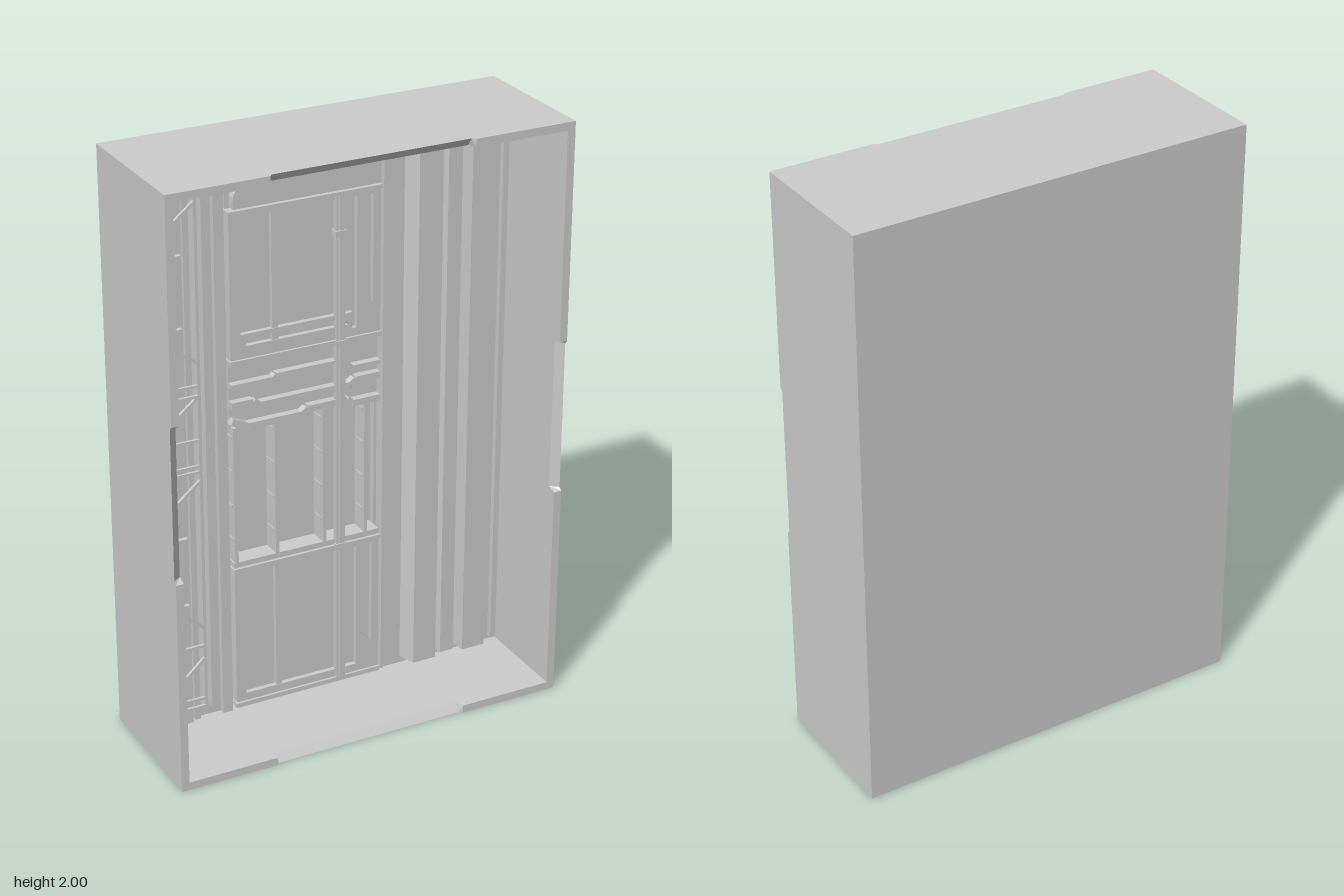
import * as THREE from 'three';

const W = 0.685, H = 2, D = 0.245, T = 0.027, BACK = -0.1;
const mat = new THREE.MeshStandardMaterial({ color: 0xcccccc, flatShading: true, side: THREE.DoubleSide });

export function createModel() {
  const root = new THREE.Group();
  const add = (parent, name, geo) => {
    const m = new THREE.Mesh(geo, mat);
    m.name = name;
    parent.add(m);
    return m;
  };
  const group = (name) => {
    const g = new THREE.Group();
    g.name = name;
    root.add(g);
    return g;
  };
  // box given by its limits
  const block = (parent, name, x0, x1, y0, y1, z0, z1) => {
    const m = add(parent, name, new THREE.BoxGeometry(x1 - x0, y1 - y0, z1 - z0));
    m.position.set((x0 + x1) / 2, (y0 + y1) / 2, (z0 + z1) / 2);
    return m;
  };
  // slanted or straight bar between two points of the xy plane
  const bar = (parent, name, x0, y0, x1, y1, z, w, d = w) => {
    const m = add(parent, name, new THREE.BoxGeometry(Math.hypot(x1 - x0, y1 - y0), w, d));
    m.position.set((x0 + x1) / 2, (y0 + y1) / 2, z);
    m.rotation.z = Math.atan2(y1 - y0, x1 - x0);
    return m;
  };
  // flat outline with optional holes, extruded from z0 to z1
  const plate = (parent, name, pts, holes, z0, z1) => {
    const s = new THREE.Shape(pts.map((p) => new THREE.Vector2(...p)));
    for (const h of holes) s.holes.push(new THREE.Path(h.map((p) => new THREE.Vector2(...p))));
    const m = add(parent, name, new THREE.ExtrudeGeometry(s, { depth: z1 - z0, bevelEnabled: false }));
    m.position.z = z0;
    return m;
  };
  const rect = (x0, x1, y0, y1) => [[x0, y0], [x1, y0], [x1, y1], [x0, y1]];

  // casing: solid back and four walls, each with a bevelled notch in its front edge
  const casing = group('casing');
  block(casing, 'backSlab', -W, W, 0, H, -D, -0.125);
  block(casing, 'leftBackPanel', -W + T, -0.345, T, H - T, -0.125, BACK);
  block(casing, 'rightBackPanel', 0.18, W - T, T, H - T, -0.125, BACK);
  const wallGeometry = (len, a, b) => {
    const n = 0.01;
    const s = new THREE.Shape([[0, -D], [len, -D], [len, D], [b, D], [b - n, D - n], [a + n, D - n], [a, D], [0, D]]
      .map((p) => new THREE.Vector2(...p)));
    const geo = new THREE.ExtrudeGeometry(s, { depth: T, bevelEnabled: false });
    const p = geo.attributes.position;
    for (let i = 0; i < p.count; i++) {
      const inNotch = Math.abs(p.getY(i) - (D - n)) < 1e-4;
      if (inNotch && p.getZ(i) > T / 2) p.setY(i, D - n - 0.02);
    }
    geo.computeVertexNormals();
    return geo;
  };
  // maps length, depth and thickness onto the axes of each wall
  const wall = (name, len, a, b, along, inward, origin) => {
    const geo = wallGeometry(len, a, b);
    const m = new THREE.Matrix4().makeBasis(along, new THREE.Vector3(0, 0, 1), inward);
    m.setPosition(origin);
    geo.applyMatrix4(m);
    add(casing, name, geo);
  };
  const V = (x, y, z = 0) => new THREE.Vector3(x, y, z);
  wall('rightWall', H, 0.74, 1.27, V(0, 1), V(1, 0), V(-W, 0));
  wall('leftWall', H, 0.74, 1.27, V(0, 1), V(-1, 0), V(W, 0));
  wall('floor', 2 * W, 0.335, 1.02, V(1, 0), V(0, 1), V(-W, 0));
  wall('ceiling', 2 * W, 0.335, 1.02, V(1, 0), V(0, -1), V(-W, H));

  // ladder mast with its column
  const mast = group('ladderMast');
  block(mast, 'edgeStrip', -0.65, -0.625, 0.04, 1.96, BACK, -0.08);
  block(mast, 'column', -0.54, -0.495, T, H - T, BACK, -0.075);
  for (const x of [-0.56, -0.475]) block(mast, 'columnFlange', x - 0.01, x + 0.01, T, H - T, BACK, -0.085);
  for (let i = 0; i < 7; i++) {
    const y = 0.46 + i * 0.24;
    block(mast, 'clampBlock', -0.537, -0.503, y - 0.013, y + 0.013, -0.075, -0.06);
  }
  for (const x of [-0.578, -0.456]) block(mast, 'ladderRail', x - 0.005, x + 0.005, 0.08, 1.93, BACK, -0.055);
  for (const y of [0.09, 0.12, 0.315, 0.94, 0.96, 1.05, 1.2, 1.235, 1.88, 1.91])
    bar(mast, 'rung', -0.578, y, -0.456, y, -0.058, 0.009);
  for (const [y0, y1] of [[0.16, 0.27], [0.48, 0.38], [0.81, 0.91], [1.1, 1.2], [1.4, 1.31], [1.74, 1.84]])
    bar(mast, 'brace', -0.578, y0, -0.456, y1, -0.058, 0.01);
  block(mast, 'innerStrip', -0.43, -0.405, 0.07, 1.93, BACK, -0.07);
  block(mast, 'cornerPost', -0.385, -0.35, T, H - T, BACK, -0.08);

  // framed upper and lower cabinets
  const cabinet = (name, y0, y1) => {
    const g = group(name);
    plate(g, 'frame', rect(-0.345, 0.178, y0, y1), [rect(-0.31, 0.095, y0 + 0.035, y1 - 0.02),
      [[0.112, y0 + 0.15], [0.152, y0 + 0.11], [0.152, y1 - 0.02], [0.112, y1 - 0.02]]], -0.125, -0.058);
    block(g, 'insetPanel', -0.31, 0.152, y0 + 0.035, y1 - 0.02, -0.125, -0.075);
    block(g, 'mullion', -0.2, -0.18, y0 + 0.035, y1 - 0.02, -0.075, -0.06);
    block(g, 'sill', -0.35, 0.18, y0 - 0.008, y0 + 0.008, -0.125, -0.05);
    block(g, 'topRail', -0.35, 0.18, y1 - 0.006, y1 + 0.006, -0.125, -0.05);
    return g;
  };
  cabinet('lowerCabinet', 0.06, 0.56);
  const upper = cabinet('upperCabinet', 1.285, 1.78);
  plate(upper, 'trayLip', [[-0.31, 1.32], [0.08, 1.32], [0.08, 1.375], [-0.31, 1.375]],
    [[[-0.295, 1.335], [0.065, 1.335], [0.045, 1.36], [-0.275, 1.36]]], -0.075, -0.058);

  // header with rounded shoulder, window and brace
  const header = group('header');
  const hs = new THREE.Shape();
  hs.moveTo(-0.33, 1.79).lineTo(0.178, 1.79).lineTo(0.178, 1.965).lineTo(-0.285, 1.965).lineTo(-0.285, 1.86);
  hs.quadraticCurveTo(-0.33, 1.86, -0.33, 1.815);
  hs.holes.push(new THREE.Path(rect(-0.27, 0.16, 1.875, 1.95).map((p) => new THREE.Vector2(...p))));
  const hm = add(header, 'headerFrame', new THREE.ExtrudeGeometry(hs, { depth: 0.06, bevelEnabled: false, curveSegments: 6 }));
  hm.position.z = -0.115;
  block(header, 'headerBacking', -0.345, 0.178, 1.78, H - T, -0.125, -0.085);
  block(header, 'headerPlate', -0.07, 0.14, 1.89, 1.935, -0.085, -0.065);
  bar(header, 'headerBrace', -0.2, 1.95, -0.1, 1.87, -0.065, 0.02);

  // middle bay: deep fins with cross clips, and stepped pipe runs above
  const bay = group('middleBay');
  for (const x of [-0.335, -0.19, -0.02, 0.13]) {
    block(bay, 'fin', x - 0.006, x + 0.006, 0.57, 1.06, -0.125, -0.06);
    for (let i = 0; i < 4; i++)
      block(bay, 'finClip', x - 0.009, x + 0.009, 0.66 + i * 0.12, 0.67 + i * 0.12, -0.115, -0.07);
  }
  block(bay, 'lowerLedge', -0.345, 0.178, 0.56, 0.585, -0.125, -0.06);
  block(bay, 'upperPanel', -0.345, 0.178, 1.06, 1.285, -0.125, -0.08);
  const run = (name, pts, w, z) => {
    for (let i = 1; i < pts.length; i++) bar(bay, name, ...pts[i - 1], ...pts[i], z, w, 0.03);
  };
  run('topPipe', [[-0.345, 1.205], [-0.2, 1.205], [-0.19, 1.215], [0.04, 1.215], [0.08, 1.185], [0.178, 1.185]], 0.014, -0.07);
  run('middlePipe', [[-0.345, 1.14], [-0.27, 1.14], [-0.25, 1.125], [0.07, 1.125], [0.09, 1.14], [0.178, 1.14]], 0.022, -0.07);
  run('bottomPipe', [[-0.345, 1.085], [-0.29, 1.06], [-0.1, 1.06], [-0.08, 1.075], [0.06, 1.075], [0.08, 1.06], [0.178, 1.06]], 0.022, -0.07);

  // tall conduit crossing the cabinets
  const conduit = group('conduit');
  for (const [x0, x1] of [[0.018, 0.026], [0.03, 0.05]]) block(conduit, 'conduitRod', x0, x1, 0.06, 1.78, -0.07, -0.05);
  for (const y of [0.56, 1.28, 1.65]) block(conduit, 'conduitClamp', 0.014, 0.054, y - 0.01, y + 0.01, -0.075, -0.046);

  // right bank: flat strips and bevelled ducts
  const bank = group('ductBank');
  block(bank, 'cornerStrip', 0.19, 0.2, 0.05, 1.97, BACK, -0.06);
  block(bank, 'wideStrip', 0.2, 0.225, 0.05, 1.96, BACK, -0.08);
  const duct = (x0, x1, y0, y1, z, b0, b1) => {
    const m = plate(bank, 'duct', [[x0, -BACK], [x1, -BACK], [x1 - b1, -z], [x0 + b0, -z]], [], 0, y1 - y0);
    m.rotation.x = -Math.PI / 2;
    m.position.set(0, y0, 0);
  };
  duct(0.285, 0.395, 0.05, 1.95, -0.04, 0.02, 0.005);
  duct(0.41, 0.48, 0.05, 1.94, -0.06, 0.01, 0.01);
  duct(0.49, 0.6, 0.05, 1.95, -0.04, 0.005, 0.02);
  block(bank, 'edgeStrip', 0.63, 0.65, 0.04, 1.96, BACK, -0.08);
  return root;
}
